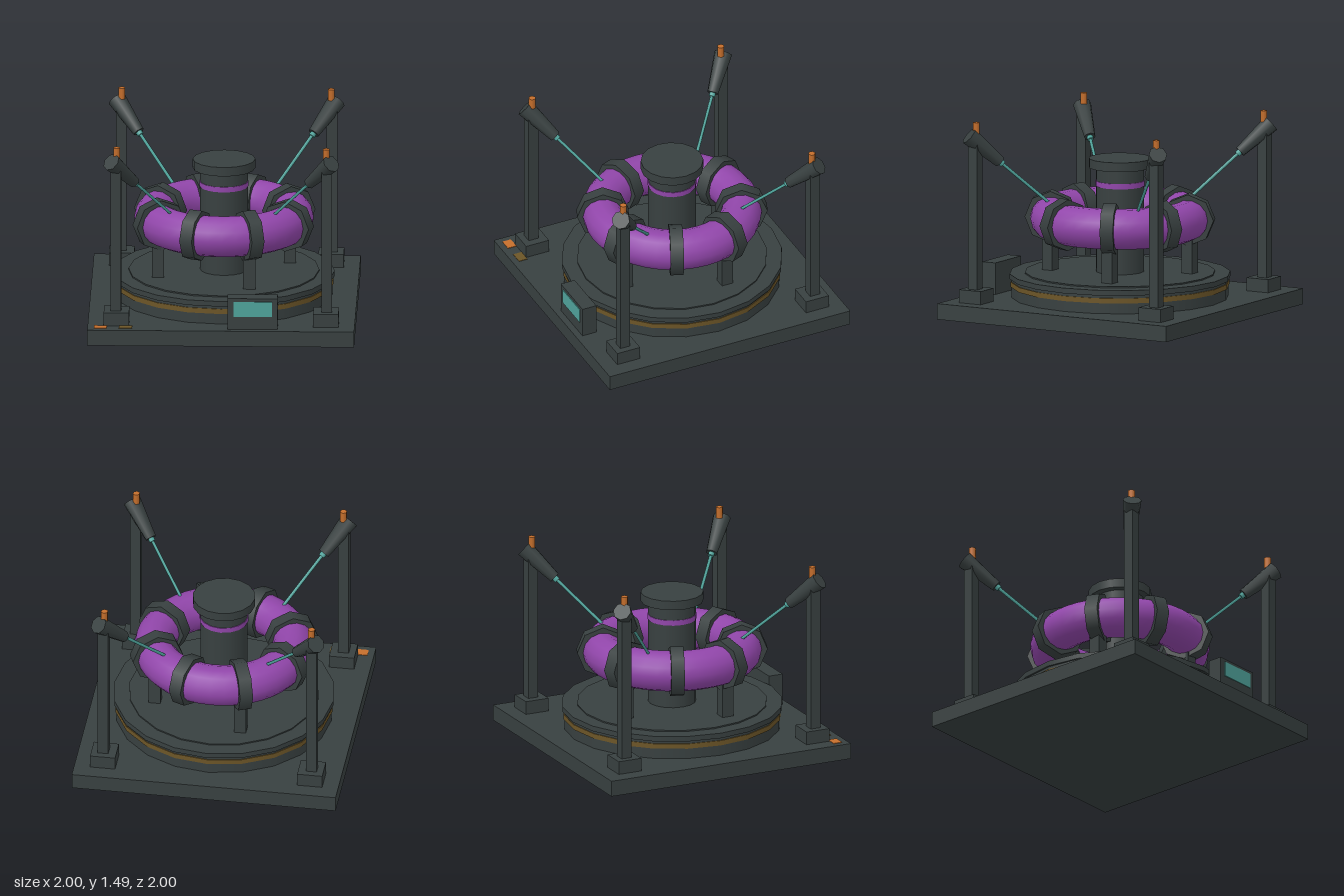
import * as THREE from 'three';

const mat = (name, color) => {
  const m = new THREE.MeshStandardMaterial({ color });
  m.name = name;
  return m;
};

export function createModel() {
  const root = new THREE.Group();
  root.name = 'ringReactor';
  const dark = mat('darkSteel', 0x384040);
  const purple = mat('purpleCore', 0x9146aa);
  const teal = mat('tealGlow', 0x4fa39b);
  const orange = mat('orangeLamp', 0xc66f2c);
  const gold = mat('dullGold', 0x6c5527);

  const add = (name, geo, material, x = 0, y = 0, z = 0, parent = root) => {
    const mesh = new THREE.Mesh(geo, material);
    mesh.name = name;
    mesh.position.set(x, y, z);
    parent.add(mesh);
    return mesh;
  };
  // box and upright cylinder given by their bottom and top heights
  const box = (name, m, x, z, w, d, y0, y1) =>
    add(name, new THREE.BoxGeometry(w, y1 - y0, d), m, x, (y0 + y1) / 2, z);
  const disc = (name, m, r, y0, y1, sides = 20, x = 0, z = 0) =>
    add(name, new THREE.CylinderGeometry(r, r, y1 - y0, sides), m, x, (y0 + y1) / 2, z);
  // cylinder running between two points
  const rod = (name, m, a, b, ra, rb, sides) => {
    const dir = b.clone().sub(a);
    const mesh = add(name, new THREE.CylinderGeometry(rb, ra, dir.length(), sides), m);
    mesh.position.copy(a).add(b).multiplyScalar(0.5);
    mesh.quaternion.setFromUnitVectors(new THREE.Vector3(0, 1, 0), dir.normalize());
    return mesh;
  };

  // base slab and round platform
  box('baseSlab', dark, 0, 0, 2, 2, 0, 0.12);
  disc('platformBody', dark, 0.815, 0.12, 0.26);
  disc('platformBand', gold, 0.822, 0.2, 0.238);
  disc('platformLip', dark, 0.83, 0.26, 0.3);
  disc('platformTop', dark, 0.715, 0.3, 0.31);

  // central column
  disc('column', dark, 0.18, 0.31, 1.1, 16);
  disc('columnBand', purple, 0.185, 0.96, 1.0, 16);
  disc('columnCap', dark, 0.235, 1.1, 1.17, 16);

  // ring with eight clamps and four legs
  const ringY = 0.715, ringR = 0.52;
  const ring = add('ring', new THREE.TorusGeometry(ringR, 0.153, 14, 40), purple, 0, ringY, 0);
  ring.rotation.x = Math.PI / 2;
  for (let i = 0; i < 8; i++) {
    const a = (i + 0.5) * Math.PI / 4;
    const pivot = new THREE.Group();
    pivot.name = 'clampPivot';
    pivot.rotation.y = a;
    root.add(pivot);
    const clamp = add('clamp', new THREE.CylinderGeometry(0.195, 0.195, 0.1, 8), dark,
      ringR, ringY, 0, pivot);
    clamp.rotation.x = Math.PI / 2;
  }
  for (let i = 0; i < 4; i++) {
    const a = Math.PI * (3 / 8 + i / 2);
    box('leg', dark, 0.53 * Math.cos(a), 0.53 * Math.sin(a), 0.09, 0.09, 0.31, 0.6);
  }

  // corner posts with emitters aimed at the ring
  for (const sx of [-1, 1]) for (const sz of [-1, 1]) {
    const x = 0.785 * sx, z = 0.785 * sz;
    box('postFoot', dark, x, z, 0.19, 0.19, 0.12, 0.22);
    box('post', dark, 0.79 * sx, 0.79 * sz, 0.08, 0.08, 0.22, 1.37);
    disc('lamp', orange, 0.028, 1.4, 1.485, 6, x, z);
    const start = new THREE.Vector3(0.825 * sx, 1.385, 0.825 * sz);
    const end = new THREE.Vector3(0.39 * sx, 0.855, 0.39 * sz);
    const at = t => start.clone().lerp(end, t);
    rod('emitter', dark, at(0), at(0.39), 0.07, 0.043, 8);
    rod('emitterTip', teal, at(0.38), at(0.425), 0.024, 0.024, 8);
    rod('beam', teal, at(0.4), at(1), 0.012, 0.012, 6);
  }

  // control console
  box('console', dark, 0.237, 0.892, 0.375, 0.115, 0.12, 0.36);
  box('consoleScreen', teal, 0.24, 0.952, 0.29, 0.008, 0.22, 0.335);

  // floor plates
  box('orangePlate', orange, -0.903, 0.917, 0.095, 0.07, 0.12, 0.124);
  box('goldPlate', gold, -0.715, 0.917, 0.1, 0.07, 0.12, 0.124);

  return root;
}
